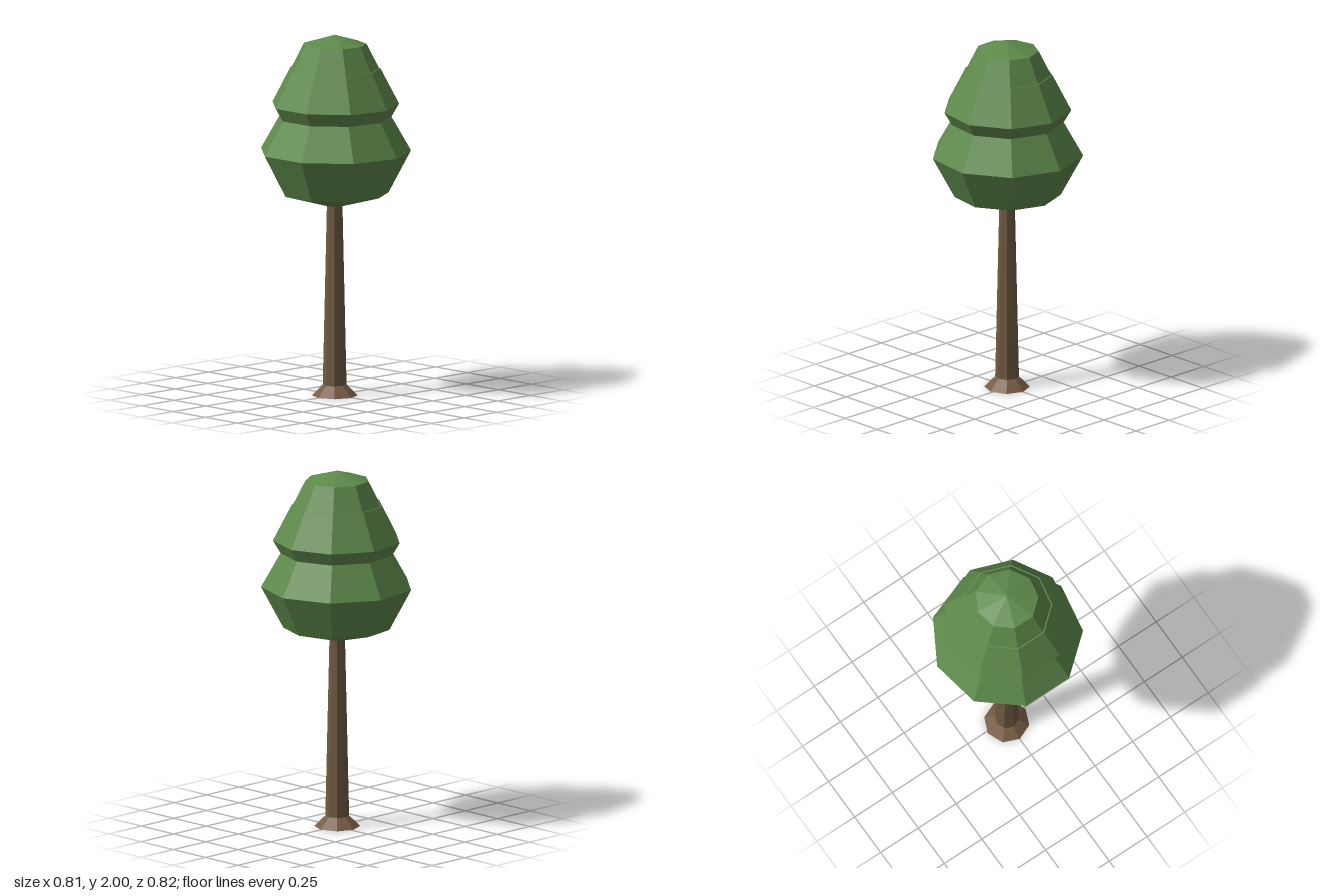
import * as THREE from 'three';

const leafGreen = new THREE.MeshStandardMaterial({ color: 0x5e8a4b });
leafGreen.name = 'leafGreen';
const barkBrown = new THREE.MeshStandardMaterial({ color: 0x6f5a41 });
barkBrown.name = 'barkBrown';
const rootBrown = new THREE.MeshStandardMaterial({ color: 0x785c45 });
rootBrown.name = 'rootBrown';

// Faceted solid of revolution: [radius, height] pairs from bottom to top, one corner on +x
function facetedLathe(name, profile, sides, material) {
  const points = profile.map(([r, y]) => new THREE.Vector2(r, y));
  const geometry = new THREE.LatheGeometry(points, sides, Math.PI / 2).toNonIndexed();
  geometry.computeVertexNormals();
  const mesh = new THREE.Mesh(geometry, material);
  mesh.name = name;
  return mesh;
}

export function createModel() {
  const tree = new THREE.Group();
  tree.name = 'tree';

  // Flared foot of the trunk, closed underneath
  tree.add(facetedLathe('rootFlare', [[0, 0], [0.125, 0], [0.065, 0.06], [0, 0.06]], 8, rootBrown));

  // Tapered trunk, running up into the crown
  tree.add(facetedLathe('trunk', [[0.065, 0.055], [0.042, 1.08]], 8, barkBrown));

  // Crown in three stacked tiers
  const crown = new THREE.Group();
  crown.name = 'crown';
  crown.add(
    facetedLathe('lowerTier', [[0, 1.04], [0.295, 1.122], [0.418, 1.354], [0.311, 1.542]], 9, leafGreen),
    facetedLathe('middleTier', [[0.311, 1.542], [0.353, 1.614], [0.25, 1.812], [0.243, 1.812]], 9, leafGreen),
    facetedLathe('topTier', [[0.243, 1.812], [0.174, 1.948], [0, 2]], 9, leafGreen),
  );
  tree.add(crown);

  // Centre the nine-sided crown's bounds
  tree.position.x = -0.0126;
  const model = new THREE.Group();
  model.name = 'model';
  model.add(tree);
  return model;
}
